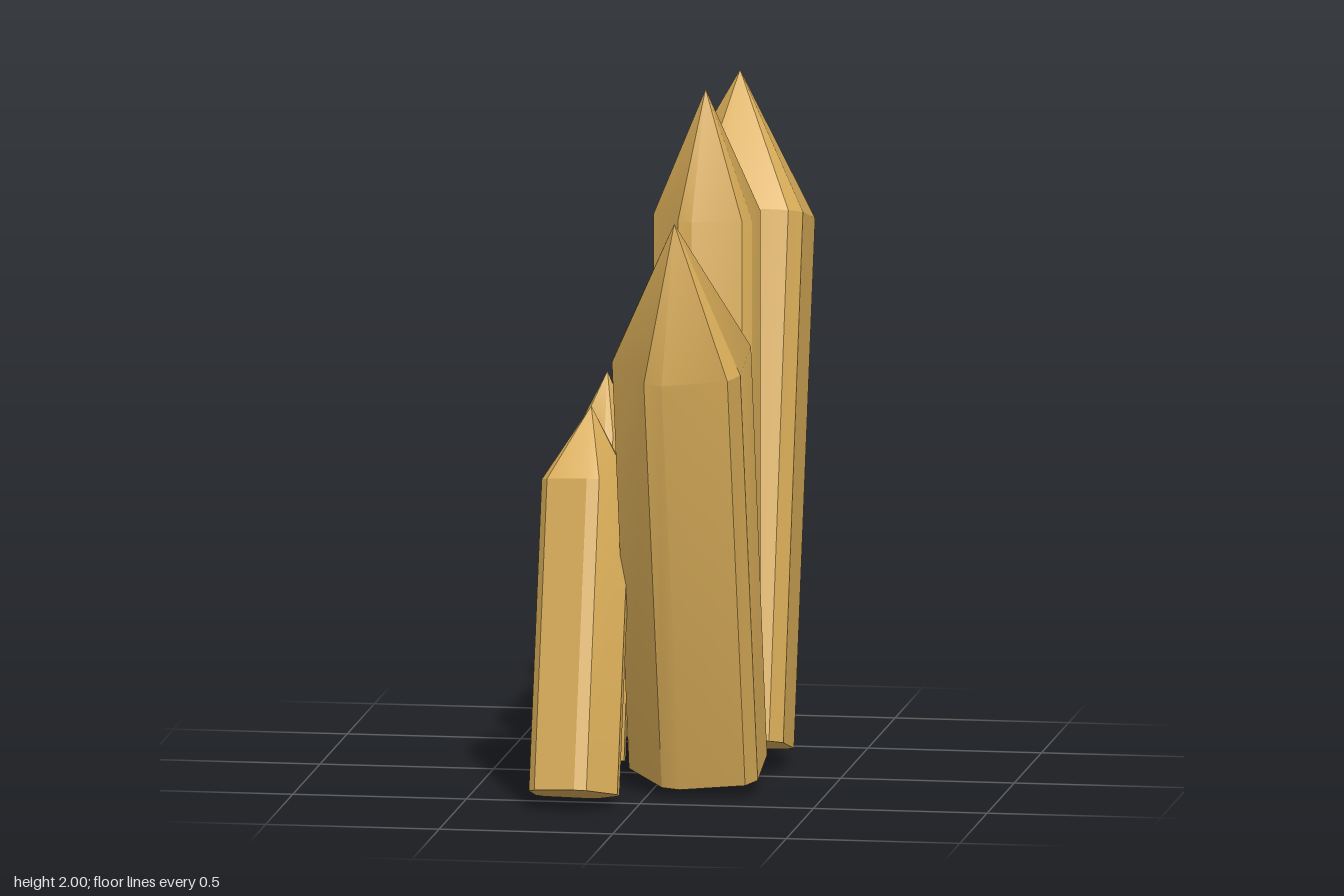
import * as THREE from 'three';
import { toCreasedNormals } from 'three/addons/utils/BufferGeometryUtils.js';

// Irregular ten-sided crystal cross-section [x, z], half width 1
const SECTION = [
  [1, 0.53], [0.84, 0.76], [-0.12, 1], [-0.4, 0.93], [-1, 0.18],
  [-1, -0.16], [-0.4, -0.93], [-0.12, -1], [0.84, -0.74], [1, -0.51],
];

// Prism with a pointed tip, standing on its base centre
function crystalGeometry({ rx, rz, length, tip, taper = 1, turned = false }) {
  const s = turned ? -1 : 1;
  const ring = (y, k) => SECTION.map(([x, z]) => [s * x * rx, y, s * z * rz * k]);
  const low = ring(0, taper);
  const high = ring(length - tip, 1);
  const apex = [0, length, 0];
  const centre = [0, 0, 0];
  const pos = [];
  const tri = (a, b, c) => pos.push(...a, ...b, ...c);
  for (let i = 0; i < SECTION.length; i++) {
    const j = (i + 1) % SECTION.length;
    tri(low[i], high[i], low[j]);
    tri(high[i], high[j], low[j]);
    tri(high[i], apex, high[j]);
    tri(centre, low[i], low[j]);
  }
  const geo = new THREE.BufferGeometry();
  geo.setAttribute('position', new THREE.Float32BufferAttribute(pos, 3));
  return toCreasedNormals(geo, 0.48);
}

export function createModel() {
  const group = new THREE.Group();
  const amber = new THREE.MeshStandardMaterial({ color: 0xd8ac58 });
  amber.name = 'amber';

  // base and apex are [y, z]; each crystal leans only forward or back
  const crystals = [
    // Large crystals
    { name: 'tallUprightCrystal', x: 0.125, base: [0.05, 0.09], apex: [2, 0.09], rx: 0.146, rz: 0.149, tip: 0.36 },
    { name: 'largeBackCrystal', x: 0.115, base: [0.07, -0.13], apex: [1.935, -0.607], rx: 0.215, rz: 0.223, tip: 0.41, taper: 0.88 },
    { name: 'largeFrontCrystal', x: 0.12, base: [0.068, 0.225], apex: [1.705, 0.635], rx: 0.19, rz: 0.196, tip: 0.42, taper: 0.87 },
    // Small crystals
    { name: 'smallBackCrystal', x: -0.203, base: [0.05, -0.455], apex: [0.985, -0.37], rx: 0.105, rz: 0.1, tip: 0.19, turned: true },
    { name: 'smallMiddleCrystal', x: -0.2, base: [0.04, 0.025], apex: [1.13, -0.18], rx: 0.082, rz: 0.083, tip: 0.18, turned: true },
    { name: 'smallestCrystal', x: -0.252, base: [0.045, 0.175], apex: [0.73, 0.205], rx: 0.078, rz: 0.08, tip: 0.15, turned: true },
    { name: 'smallFrontCrystal', x: -0.177, base: [0.036, 0.56], apex: [1.107, 0.265], rx: 0.124, rz: 0.125, tip: 0.22, turned: true },
  ];

  for (const c of crystals) {
    const dy = c.apex[0] - c.base[0];
    const dz = c.apex[1] - c.base[1];
    const mesh = new THREE.Mesh(crystalGeometry({ ...c, length: Math.hypot(dy, dz) }), amber);
    mesh.name = c.name;
    mesh.position.set(c.x, c.base[0], c.base[1]);
    mesh.rotation.x = Math.atan2(dz, dy);
    group.add(mesh);
  }
  return group;
}
